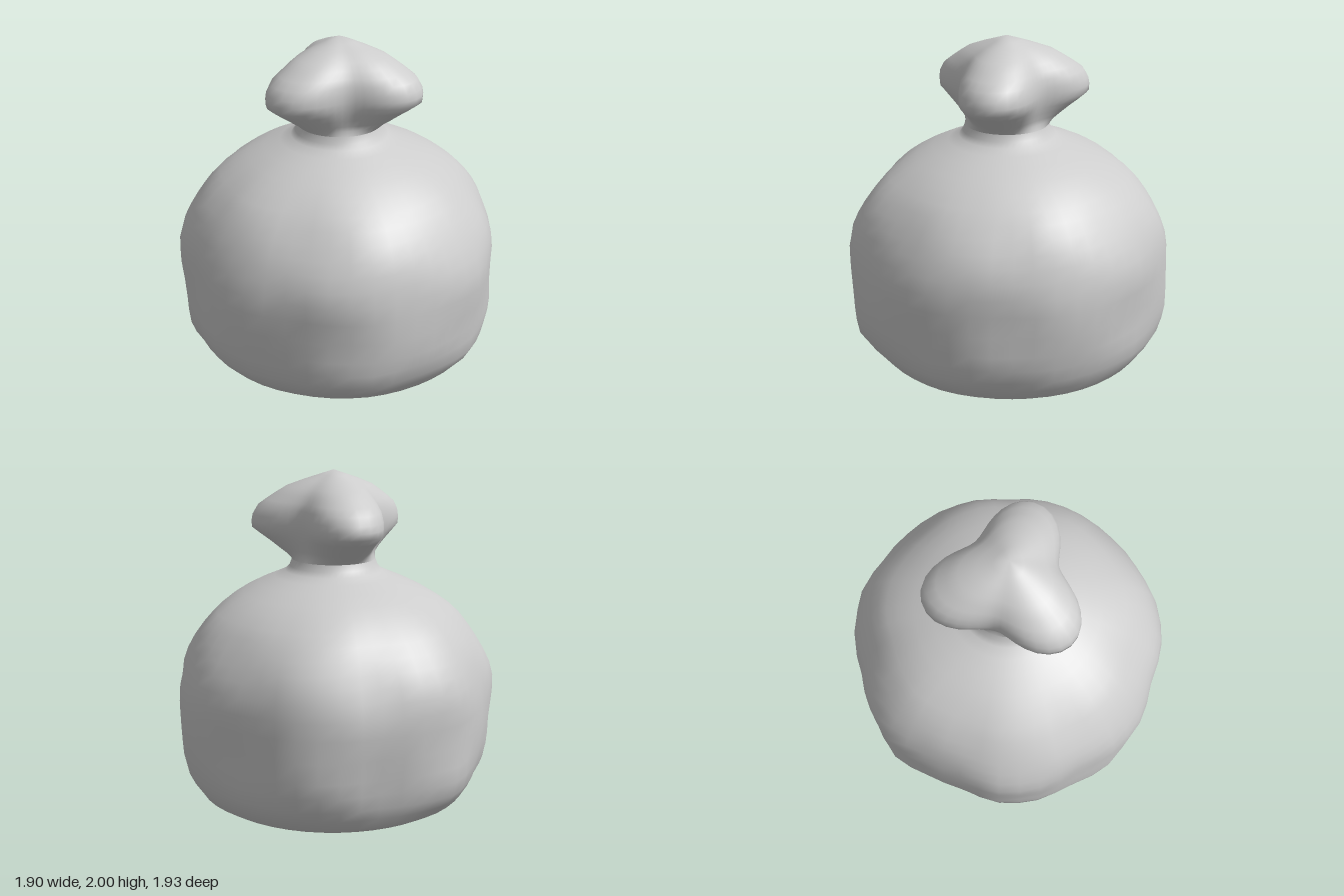
import * as THREE from 'three';

const SEGMENTS = 48;

// Outline of the lumpy body, one radius every 15 degrees from +x towards +z
const OUTLINE = [
  0.95, 0.97, 0.965, 0.975, 1.0, 0.985, 0.96, 0.985, 0.99, 0.965, 0.985, 0.985,
  0.94, 0.945, 0.98, 0.955, 0.92, 0.955, 0.97, 0.94, 0.935, 0.95, 0.95, 0.93,
];

// Body levels: [height, radius]
const BODY = [
  [0, 0.69], [0.02, 0.75], [0.06, 0.82], [0.13, 0.875], [0.2, 0.915], [0.29, 0.935],
  [0.38, 0.945], [0.5, 0.95], [0.63, 0.957], [0.73, 0.953], [0.82, 0.935], [0.9, 0.905],
  [0.97, 0.87], [1.04, 0.825], [1.11, 0.77], [1.17, 0.71], [1.23, 0.63], [1.28, 0.55],
  [1.33, 0.45], [1.37, 0.355], [1.4, 0.29], [1.43, 0.265], [1.47, 0.25],
];

// Gathered top levels: [height, radius at a lobe, radius between lobes]
const TOP = [
  [1.47, 0.25, 0.25], [1.5, 0.285, 0.24], [1.53, 0.33, 0.245], [1.57, 0.385, 0.26],
  [1.61, 0.445, 0.272], [1.65, 0.5, 0.282], [1.69, 0.503, 0.287], [1.73, 0.495, 0.287],
  [1.78, 0.465, 0.28], [1.82, 0.41, 0.262], [1.86, 0.35, 0.235], [1.9, 0.285, 0.2],
  [1.94, 0.18, 0.135], [1.97, 0.09, 0.075],
];

function outlineAt(angle) {
  const t = (angle / (Math.PI * 2)) * OUTLINE.length;
  const i = Math.floor(t);
  const f = t - i;
  const a = OUTLINE[i % OUTLINE.length];
  const b = OUTLINE[(i + 1) % OUTLINE.length];
  return a + (b - a) * f * f * (3 - 2 * f);
}

// Skin closed rings, optionally ending in a single tip point
function skin(levels, radiusAt, centreZ, tipY) {
  const positions = [];
  const index = [];
  levels.forEach((level) => {
    for (let j = 0; j < SEGMENTS; j++) {
      const a = (j / SEGMENTS) * Math.PI * 2;
      const r = radiusAt(level, a);
      positions.push(r * Math.cos(a), level[0], r * Math.sin(a) + centreZ(level[0]));
    }
  });
  for (let i = 0; i < levels.length - 1; i++) {
    for (let j = 0; j < SEGMENTS; j++) {
      const k = (j + 1) % SEGMENTS;
      const a = i * SEGMENTS + j, b = i * SEGMENTS + k;
      index.push(a, a + SEGMENTS, b, b, a + SEGMENTS, b + SEGMENTS);
    }
  }
  if (tipY !== undefined) {
    const last = (levels.length - 1) * SEGMENTS;
    const tip = positions.length / 3;
    positions.push(0, tipY, centreZ(tipY));
    for (let j = 0; j < SEGMENTS; j++) index.push(last + j, tip, last + ((j + 1) % SEGMENTS));
  }
  const geometry = new THREE.BufferGeometry();
  geometry.setAttribute('position', new THREE.Float32BufferAttribute(positions, 3));
  geometry.setIndex(index);
  geometry.computeVertexNormals();
  return geometry;
}

// Body radius: outline lumps and soft diagonal folds, fading out at base and neck
function bodyRadius([y, r], a) {
  const fade = THREE.MathUtils.smoothstep(y, 0, 0.2) * (1 - THREE.MathUtils.smoothstep(y, 1.1, 1.4));
  const lumps = (outlineAt(a) / 0.96 - 1) * fade;
  const folds = 0.006 * Math.sin(5 * a + 9 * y) + 0.005 * Math.sin(8 * a - 13 * y + 1);
  return r * (1 + lumps + folds * fade);
}

// Three rounded lobes, one pointing to +x
function topRadius([, lobe, valley], a) {
  return (lobe + valley) / 2 + ((lobe - valley) / 2) * Math.cos(3 * a);
}

const leanZ = (y) => 0.025 * THREE.MathUtils.smoothstep(y, 1.1, 1.47);

export function createModel() {
  const cloth = new THREE.MeshStandardMaterial({ color: 0xcccccc });
  cloth.name = 'grey cloth';
  const group = new THREE.Group();
  group.name = 'tiedSack';

  const add = (name, geometry) => {
    const mesh = new THREE.Mesh(geometry, cloth);
    mesh.name = name;
    group.add(mesh);
    return mesh;
  };

  add('sackBody', skin(BODY, bodyRadius, leanZ));
  add('gatheredTop', skin(TOP, topRadius, leanZ, 2));

  // Flat underside
  const base = add('sackBase', new THREE.CircleGeometry(0.69, SEGMENTS));
  base.rotation.x = Math.PI / 2;

  return group;
}
